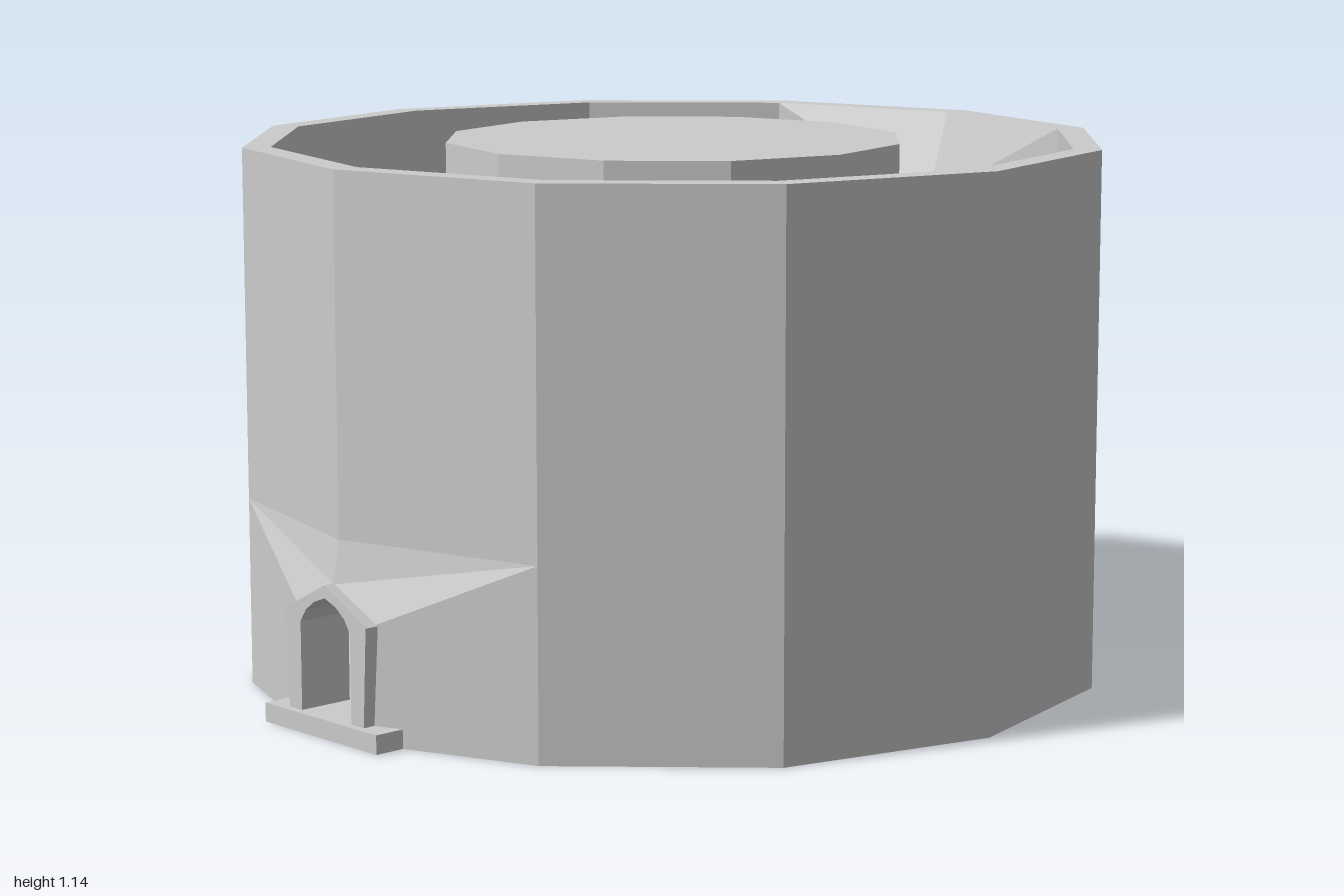
import * as THREE from 'three';

const CX = -0.02, H = 1.145, R_OUT = 0.925, R_IN = 0.865, R_COL = 0.495, LANDING = 0.67;
const mat = new THREE.MeshStandardMaterial({ color: 0xcccccc, flatShading: true });
const matDouble = new THREE.MeshStandardMaterial({ color: 0xcccccc, flatShading: true, side: THREE.DoubleSide });
const rad = THREE.MathUtils.degToRad;

function add(parent, name, geometry, material = mat) {
  const mesh = new THREE.Mesh(geometry, material);
  mesh.name = name;
  parent.add(mesh);
  return mesh;
}

// Point on a twelve-sided outline of circumradius r at angle a (degrees, 0 = +x, 90 = +z)
function onOutline(r, a) {
  const local = ((a % 30) + 30) % 30 - 15;
  const d = r * Math.cos(rad(15)) / Math.cos(rad(local));
  return new THREE.Vector2(d * Math.cos(rad(a)), d * Math.sin(rad(a)));
}

// Flat plate from plan points (x, z) with its top at y
function plate(points, y, thickness) {
  const g = new THREE.ExtrudeGeometry(new THREE.Shape(points), { depth: thickness, bevelEnabled: false });
  return g.rotateX(Math.PI / 2).translate(0, y, 0);
}

// Piece of ring between two angles, following the outline
function ringSector(a0, a1, rIn, rOut, y, thickness) {
  const angles = [a0];
  for (let a = Math.floor(a0 / 30) * 30 + 30; a < a1; a += 30) angles.push(a);
  angles.push(a1);
  const outer = angles.map(a => onOutline(rOut, a));
  const inner = angles.map(a => onOutline(rIn, a)).reverse();
  return plate([...outer, ...inner], y, thickness);
}

// Two wall panels meeting at +x, bent to a gabled doorway between heights base and top
function doorWall({ base, top, eave, peak, outJamb, outPeak, inJamb, inPeak }) {
  const pos = [];
  const tri = (flip, a, b, c) => (flip ? [a, c, b] : [a, b, c]).forEach(p => pos.push(...p));
  const quad = (flip, a, b, c, d) => { tri(flip, a, b, c); tri(flip, a, c, d); };
  for (const s of [1, -1]) {
    const skin = (r, jamb, peakX, flip) => {
      const C = y => [r * Math.cos(rad(30)), y, s * r * 0.5];
      const V = y => [r, y, 0];
      const J0 = [jamb, base, s * 0.11], J1 = [jamb, eave, s * 0.11], P = [peakX, peak, 0];
      if (base > 0) quad(flip, C(0), V(0), V(base), C(base));
      if (top < H) quad(flip, C(top), V(top), V(H), C(H));
      tri(flip, C(base), J0, J1);
      tri(flip, C(base), J1, C(top));
      tri(flip, C(top), J1, P);
      tri(flip, C(top), P, V(top));
      return [C(H), V(H)];
    };
    const [co, vo] = skin(R_OUT, outJamb, outPeak, s < 0);
    const [ci, vi] = skin(R_IN, inJamb, inPeak, s > 0);
    quad(s < 0, co, vo, vi, ci);
  }
  const g = new THREE.BufferGeometry();
  g.setAttribute('position', new THREE.Float32BufferAttribute(pos, 3));
  g.computeVertexNormals();
  return g;
}

// Gabled door surround with an arched opening, running from x0 to x1
function doorFrame(x0, x1, y) {
  const s = new THREE.Shape();
  s.moveTo(-0.12, 0);
  s.lineTo(-0.08, 0);
  s.lineTo(-0.08, 0.185);
  s.quadraticCurveTo(-0.06, 0.23, 0, 0.245);
  s.quadraticCurveTo(0.06, 0.23, 0.08, 0.185);
  s.lineTo(0.08, 0);
  s.lineTo(0.12, 0);
  s.lineTo(0.13, 0.205);
  s.lineTo(0, 0.272);
  s.lineTo(-0.13, 0.205);
  s.closePath();
  const g = new THREE.ExtrudeGeometry(s, { depth: x1 - x0, bevelEnabled: false, curveSegments: 3 });
  return g.rotateY(Math.PI / 2).translate(x0, y, 0);
}

export function createModel() {
  const model = new THREE.Group();
  model.name = 'roundTower';
  const tower = new THREE.Group();
  tower.name = 'tower';
  tower.position.x = CX;
  model.add(tower);

  // Floor and central column
  add(tower, 'floor', new THREE.CylinderGeometry(R_OUT - 0.002, R_OUT - 0.002, 0.03, 12).translate(0, 0.015, 0));
  add(tower, 'column', new THREE.CylinderGeometry(R_COL, R_COL, H - 0.01, 12).translate(0, (H + 0.01) / 2, 0));

  // Plain wall: front and back runs of four panels
  add(tower, 'frontWall', ringSector(30, 150, R_IN, R_OUT, H, H));
  add(tower, 'backWall', ringSector(210, 330, R_IN, R_OUT, H, H));

  // Upper doorway, set into the wall on +x
  const upper = new THREE.Group();
  upper.name = 'upperDoorway';
  tower.add(upper);
  add(upper, 'upperDoorWall', doorWall({
    base: LANDING, top: H, eave: 0.87, peak: 0.945,
    outJamb: 0.876, outPeak: 0.895, inJamb: 0.785, inPeak: 0.80,
  }), matDouble);
  add(upper, 'upperDoorFrame', doorFrame(0.78, 0.886, LANDING));

  // Lower doorway, pushed out of the wall on -x
  const lower = new THREE.Group();
  lower.name = 'lowerDoorway';
  lower.rotation.y = Math.PI;
  tower.add(lower);
  add(lower, 'lowerDoorWall', doorWall({
    base: 0, top: 0.4, eave: 0.24, peak: 0.31,
    outJamb: 0.94, outPeak: 0.94, inJamb: 0.85, inPeak: 0.86,
  }), matDouble);
  add(lower, 'lowerDoorFrame', doorFrame(0.84, 0.963, 0.04));
  add(lower, 'doorStep', new THREE.BoxGeometry(0.16, 0.04, 0.36).translate(0.90, 0.02, 0));

  // Spiral stair: one full turn from the back of the floor up to the landing
  const stairs = new THREE.Group();
  stairs.name = 'spiralStairs';
  tower.add(stairs);
  const count = 45, turn = 360 / count, rise = (LANDING - 0.04) / (count + 1);
  for (let i = 0; i < count; i++) {
    const a = -90 + i * turn;
    add(stairs, 'stairStep', ringSector(a, a + turn, R_COL - 0.02, R_IN + 0.02, 0.04 + (i + 1) * rise, 0.03));
  }

  // Landing over the right half, with a small slab end showing through the back wall
  add(tower, 'landing', ringSector(-92, 84, R_COL - 0.02, R_IN + 0.015, LANDING, 0.02));
  add(tower, 'slabEnd', new THREE.BoxGeometry(0.12, 0.015, 0.1).translate(0.13, LANDING, -0.857));

  // Thin ledge along the wall under the upper door
  const ledge = [[0.74, -0.44], [0.83, -0.44], [0.90, -0.17], [0.90, 0.17], [0.83, 0.44], [0.74, 0.44]];
  add(tower, 'ledge', plate(ledge.map(p => new THREE.Vector2(...p)), 0.68, 0.023));

  // Balcony with a sloping underside
  const side = [[0.82, 0.63], [0.90, 0.63], [1.02, 0.66], [1.02, 0.676], [0.82, 0.676]];
  add(tower, 'balcony', new THREE.ExtrudeGeometry(
    new THREE.Shape(side.map(p => new THREE.Vector2(...p))), { depth: 0.38, bevelEnabled: false },
  ).translate(0, 0, -0.19));

  return model;
}
